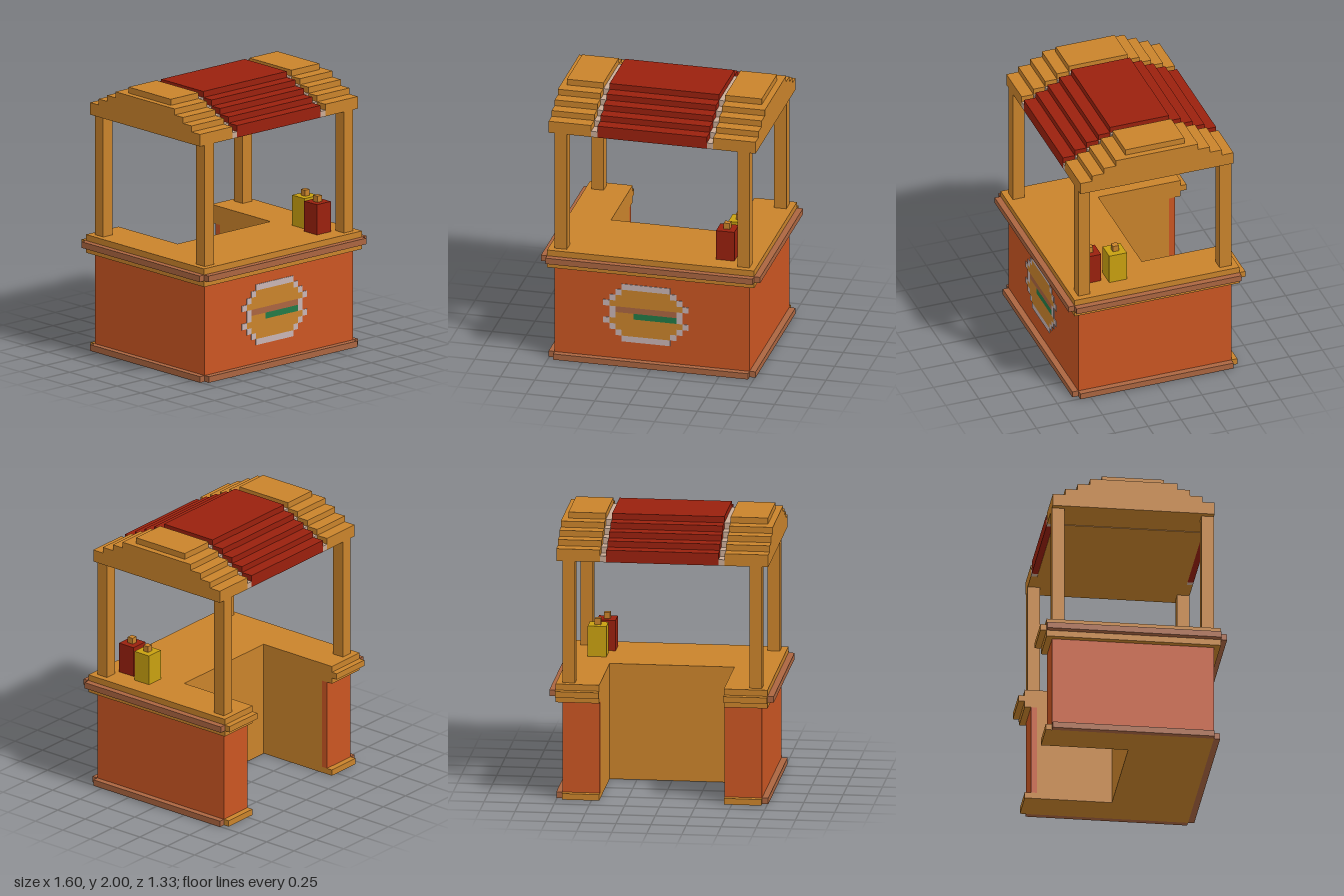
import * as THREE from 'three';

const U = 2 / 45; // one block

const paint = (name, color) => {
  const m = new THREE.MeshStandardMaterial({ color });
  m.name = name;
  return m;
};

export function createModel() {
  const group = new THREE.Group();
  const wood = paint('wood', 0xc9832b);
  const brown = paint('brown trim', 0xab6540);
  const panel = paint('orange panel', 0xca5522);
  const red = paint('red', 0x9a200d);
  const yellow = paint('mustard yellow', 0xc8a010);
  const green = paint('green', 0x227a46);
  const cream = paint('cream', 0xcaab96);
  const pale = paint('pale outline', 0xc8b4b4);

  const add = (name, geometry, material) => {
    const mesh = new THREE.Mesh(geometry, material);
    mesh.name = name;
    group.add(mesh);
    return mesh;
  };

  // Box between two corners, measured in blocks
  const box = (name, mat, x0, x1, y0, y1, z0, z1) => {
    const g = new THREE.BoxGeometry((x1 - x0) * U, (y1 - y0) * U, (z1 - z0) * U);
    g.translate((x0 + x1) * U / 2, (y0 + y1) * U / 2, (z0 + z1) * U / 2);
    return add(name, g, mat);
  };
  // The same box on both sides of x = 0
  const pair = (name, mat, x0, x1, ...rest) => {
    box(name + 'Left', mat, x0, x1, ...rest);
    box(name + 'Right', mat, -x1, -x0, ...rest);
  };

  const extrude = (points, depth) => new THREE.ExtrudeGeometry(
    new THREE.Shape(points.map(([a, b]) => new THREE.Vector2(a * U, b * U))),
    { depth: depth * U, bevelEnabled: false });

  // U-shaped layer, open at the back
  const uLayer = (name, hx, front, back, y0, y1) => {
    const g = extrude([[-hx, -front], [hx, -front], [hx, back], [10, back],
      [10, 0], [-10, 0], [-10, back], [-hx, back]], y1 - y0);
    g.rotateX(-Math.PI / 2);
    g.translate(0, y0 * U, 0);
    add(name, g, wood);
  };

  // Base
  uLayer('baseFloor', 16, 13, 14, 0, 1);
  box('baseTrimFront', brown, -16, 16, 0, 1, 13, 14);
  pair('baseTrim', brown, 16, 17, 0, 1, -13, 13);

  // Body with outer panels
  uLayer('bodyCore', 15, 12, 12, 1, 16);
  box('frontPanel', panel, -16, 16, 1, 16, 12, 13);
  pair('sidePanel', panel, 15, 16, 1, 16, -13, 12);
  pair('backPanel', panel, 10, 15, 1, 16, -13, -12);

  // Countertop
  uLayer('counterLower', 17, 14, 14, 16, 17);
  uLayer('counterMiddle', 17, 14, 15, 17, 18);
  uLayer('counterTop', 17, 14, 14, 18, 19);
  box('counterTrimFront', brown, -17, 17, 17, 18, 14, 15);
  pair('counterTrim', brown, 17, 18, 17, 18, -14, 14);

  // Posts
  pair('frontPost', wood, 14, 16, 19, 39, 11, 13);
  pair('backPost', wood, 14, 16, 19, 39, -13, -11);

  // Stepped roof slice between x0 and x1; the profile shrinks by two blocks a step
  const roofSlice = (name, mat, x0, x1, firstTop, steps) => {
    const half = [];
    let y = 39;
    for (let i = 0; i < steps; i++) {
      half.push([13 - 2 * i, y]);
      y = firstTop + i;
      half.push([13 - 2 * i, y]);
    }
    const g = extrude([...half, ...half.map(([z, h]) => [-z, h]).reverse()], x1 - x0);
    g.rotateY(Math.PI / 2);
    g.translate(x0 * U, 0, 0);
    add(name, g, mat);
  };
  roofSlice('roofStripe', red, -9, 9, 41, 5);
  roofSlice('roofGrooveLeft', cream, 9, 10, 40, 5);
  roofSlice('roofGrooveRight', cream, -10, -9, 40, 5);
  roofSlice('roofWingLeft', wood, 10, 17, 41, 4);
  roofSlice('roofWingRight', wood, -17, -10, 41, 4);
  pair('roofCap', wood, 10, 16, 44, 45, -5, 5);
  box('ceiling', wood, -10, 10, 38.9, 39, -12, 12);

  // Sauce bottles
  const bottle = (name, mat, x, z) => {
    box(name, mat, x, x + 3, 19, 24, z, z + 3);
    box(name + 'Cap', wood, x + 1, x + 2, 24, 25, z + 1, z + 2);
  };
  bottle('redBottle', red, 10, 8);
  bottle('yellowBottle', yellow, 11, 4);

  // Sandwich picture on the front, one thin plate per block row
  const plate = (name, mat, x0, x1, y0, y1) =>
    box(name, mat, x0 - 1, x1 - 1, y0, y1, 13, 13.1);
  plate('outlineTop', pale, -4, 4, 13, 14);
  plate('outlineBottom', pale, -4, 4, 4, 5);
  const halfWidths = [4, 5, 6, 5, 5, 6, 5, 4]; // rows from 5 up to 12
  halfWidths.forEach((w, i) => {
    const y = 5 + i;
    plate('outlineLeft', pale, w, w + 1, y, y + 1);
    plate('outlineRight', pale, -w - 1, -w, y, y + 1);
    if (y === 9) plate('patty', brown, -w, w, y, y + 1);
    else if (y === 8) {
      plate('bunEdge', wood, -w, -2, y, y + 1);
      plate('lettuce', green, -2, w, y, y + 1);
    } else plate('bun', wood, -w, w, y, y + 1);
  });

  return group;
}
